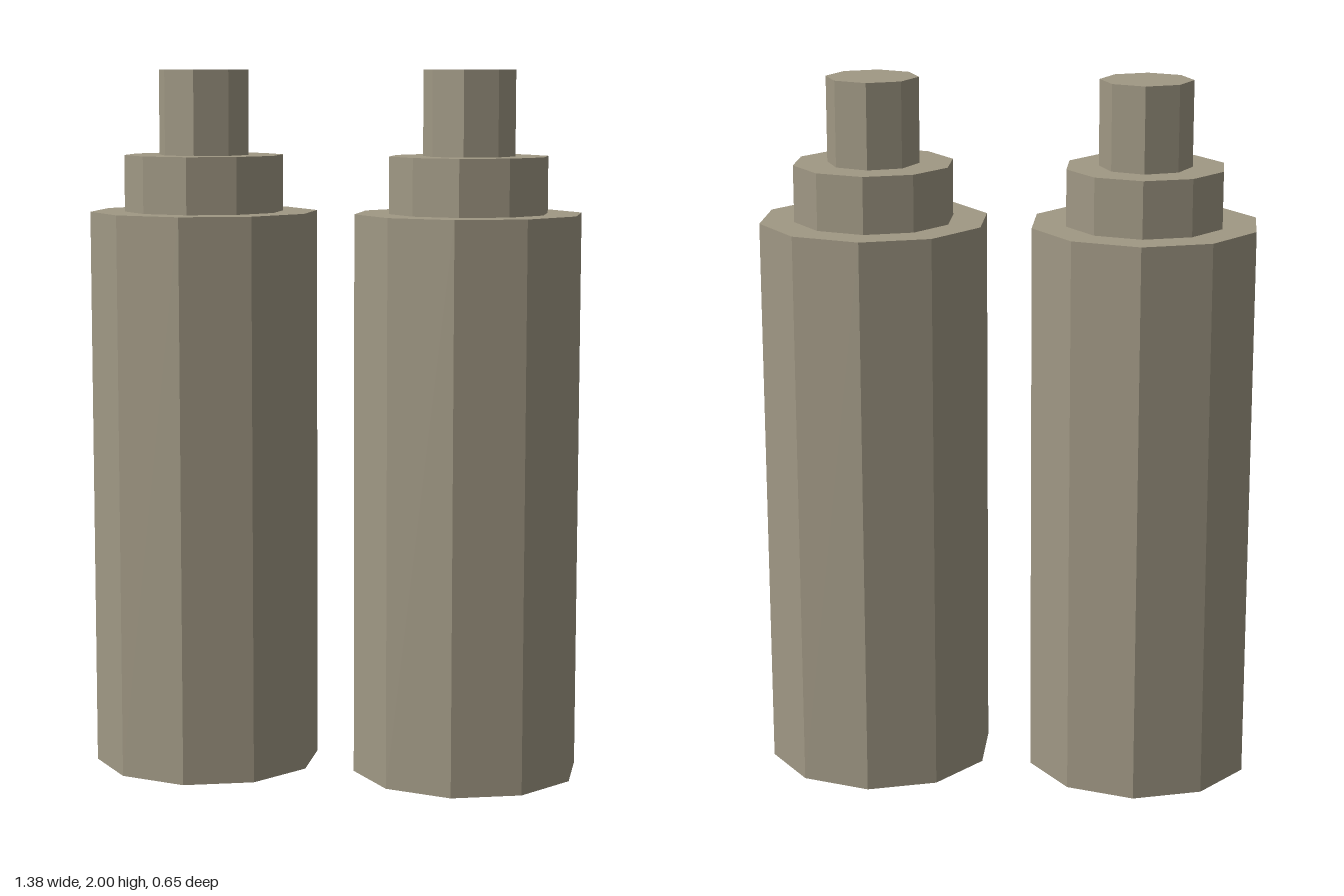
import * as THREE from 'three';

export function createModel() {
  const model = new THREE.Group();
  const material = new THREE.MeshStandardMaterial({ color: 0xa09884, flatShading: true });

  // Stacked tiers of each canister: name, radius, bottom, top, sides
  const tiers = [
    ['body', 0.325, 0, 1.6, 10],
    ['collar', 0.227, 1.6, 1.76, 10],
    ['nozzle', 0.13, 1.76, 2, 8],
  ];

  // Two identical canisters side by side
  for (const [name, x] of [['rightCanister', -0.38], ['leftCanister', 0.38]]) {
    const canister = new THREE.Group();
    canister.name = name;
    canister.position.x = x;
    for (const [part, radius, bottom, top, sides] of tiers) {
      const geometry = new THREE.CylinderGeometry(radius, radius, top - bottom, sides);
      const mesh = new THREE.Mesh(geometry, material);
      mesh.name = part;
      mesh.position.y = (bottom + top) / 2;
      canister.add(mesh);
    }
    model.add(canister);
  }
  return model;
}
